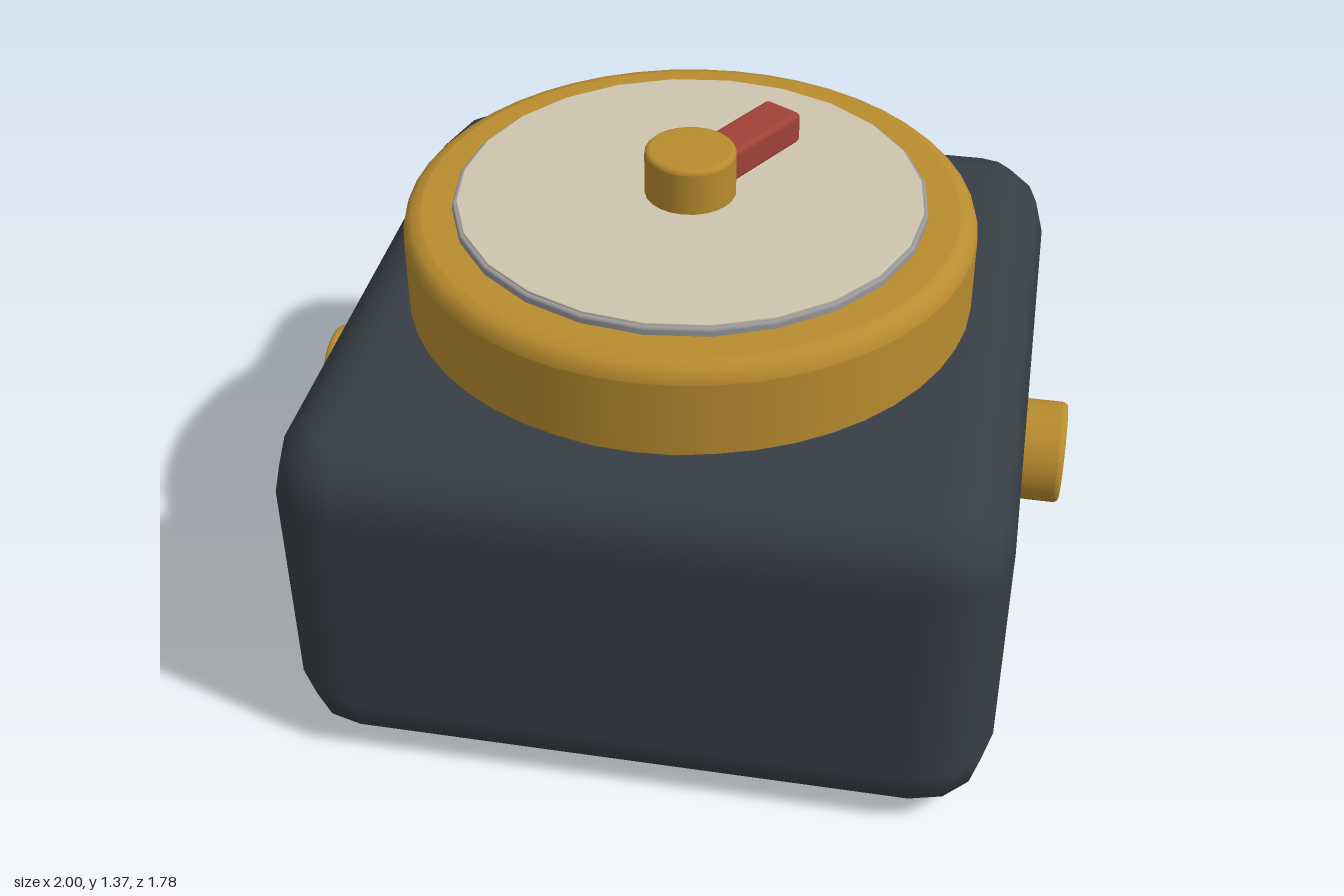
import * as THREE from 'three';
import { RoundedBoxGeometry } from 'three/addons/geometries/RoundedBoxGeometry.js';

const material = (name, color) => {
  const m = new THREE.MeshStandardMaterial({ color });
  m.name = name;
  return m;
};

// Box with 3-step rounded edges and corners, made by spreading the octants of a sphere.
function softBox(width, height, depth, r) {
  const geo = new THREE.SphereGeometry(1, 16, 9);
  const pos = geo.attributes.position;
  const nor = geo.attributes.normal;
  const hx = width / 2 - r, hy = height / 2 - r, hz = depth / 2 - r;
  for (let i = 0; i < pos.count; i++) {
    const row = Math.floor(i / 17), col = (i % 17) % 16;
    const top = row <= 4;
    const cap = row === 0 || row === 9; // centre of the flat top and bottom
    const step = cap ? (top ? 0 : 6) : (top ? row - 1 : row - 2);
    const theta = step * Math.PI / 6;
    const quarter = Math.floor(col / 4) * Math.PI / 2;
    const phi = quarter + (col % 4) * Math.PI / 6;
    const middle = quarter + Math.PI / 4;
    const nx = -Math.cos(phi) * Math.sin(theta);
    const ny = Math.cos(theta);
    const nz = Math.sin(phi) * Math.sin(theta);
    const spread = cap ? 0 : 1;
    pos.setXYZ(i,
      -Math.sign(Math.cos(middle)) * hx * spread + nx * r,
      (top ? hy : -hy) + ny * r,
      Math.sign(Math.sin(middle)) * hz * spread + nz * r);
    nor.setXYZ(i, nx, ny, nz);
  }
  return geo;
}

// Upright disc with a rounded upper rim, standing on y = 0.
function disc(radius, height, bevel, sides) {
  const e = 0.001; // support loops keep the flat parts flat
  const pts = [[0, 0], [radius - e, 0], [radius, 0], [radius, e], [radius, height - bevel - e]];
  for (let i = 0; i <= 3; i++) {
    const a = i * Math.PI / 6;
    pts.push([radius - bevel + bevel * Math.cos(a), height - bevel + bevel * Math.sin(a)]);
  }
  pts.push([radius - bevel - e, height], [0, height]);
  return new THREE.LatheGeometry(pts.map(p => new THREE.Vector2(...p)), sides);
}

export function createModel() {
  const model = new THREE.Group();
  const slate = material('slate', 0x373e46);
  const brass = material('brass', 0xb98c2f);
  const steel = material('steel', 0x98979a);
  const cream = material('cream', 0xcec5ae);
  const red = material('red', 0xa04236);

  const add = (name, geo, mat, x, y, z) => {
    const mesh = new THREE.Mesh(geo, mat);
    mesh.name = name;
    mesh.position.set(x, y, z);
    model.add(mesh);
    return mesh;
  };

  add('body', softBox(1.78, 0.975, 1.78, 0.19), slate, 0, 0.4875, 0);

  // Dial stack
  add('bezel', disc(0.722, 0.245, 0.045, 48), brass, 0, 0.972, 0);
  add('dialRim', disc(0.597, 0.027, 0.006, 24), steel, 0, 1.21, 0);
  add('dialFace', disc(0.586, 0.01, 0.002, 24), cream, 0, 1.233, 0);
  add('centreKnob', disc(0.115, 0.13, 0.012, 24), brass, 0, 1.235, 0);

  // Pointer, turned 30 degrees to the right of the back
  const turn = Math.PI / 6;
  const reach = 0.231;
  const pointer = add('pointer', new RoundedBoxGeometry(0.115, 0.087, 0.295, 2, 0.015), red,
    reach * Math.sin(turn), 1.2825, -reach * Math.cos(turn));
  pointer.rotation.y = -turn;

  // Side knobs
  for (const side of [1, -1]) {
    const knob = add(side > 0 ? 'leftKnob' : 'rightKnob',
      disc(0.134, 0.13, 0.015, 24), brass, side * 0.87, 0.545, 0);
    knob.rotation.z = -side * Math.PI / 2;
  }
  return model;
}
